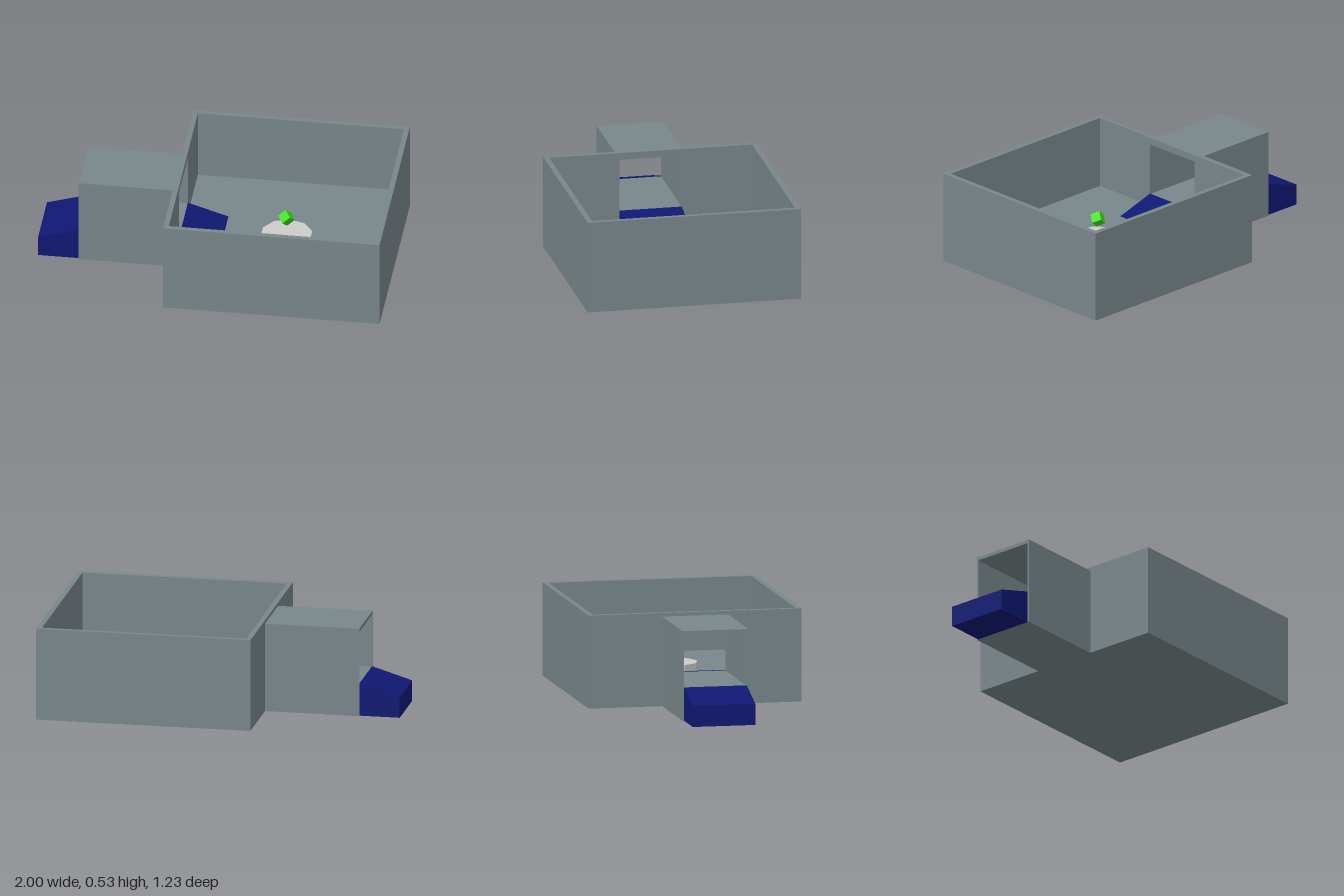
import * as THREE from 'three';

const mat = (color) => new THREE.MeshStandardMaterial({ color, flatShading: true });

export function createModel() {
  const model = new THREE.Group();
  const slate = mat(0x78868a), navy = mat(0x0e1873), green = mat(0x3bdc12), grey = mat(0xcccccc);

  const add = (parent, name, geometry, material) => {
    const mesh = new THREE.Mesh(geometry, material);
    mesh.name = name;
    parent.add(mesh);
    return mesh;
  };
  // Box given by its lower and upper corners
  const block = (parent, name, a, b, material = slate) => {
    const mesh = add(parent, name, new THREE.BoxGeometry(b[0] - a[0], b[1] - a[1], b[2] - a[2]), material);
    mesh.position.set((a[0] + b[0]) / 2, (a[1] + b[1]) / 2, (a[2] + b[2]) / 2);
  };
  const rectangle = (Type, w, y0, y1) => new Type([
    [-w, y0], [w, y0], [w, y1], [-w, y1],
  ].map(([x, y]) => new THREE.Vector2(x, y)));
  // Upright panel in the z-y plane with a doorway, running along x
  const doorway = (parent, name, halfWidth, y0, y1, x0, x1) => {
    const shape = rectangle(THREE.Shape, halfWidth, y0, y1);
    shape.holes.push(rectangle(THREE.Path, doorHalf, doorBottom, doorTop));
    const geometry = new THREE.ExtrudeGeometry(shape, { depth: x1 - x0, bevelEnabled: false });
    geometry.rotateY(Math.PI / 2).translate(x0, 0, 0);
    add(parent, name, geometry, slate);
  };

  const half = 0.613, wall = 0.03, left = 1, right = -0.23, height = 0.53, floorY = 0.117;
  const doorHalf = 0.18, doorBottom = 0.187, doorTop = 0.49;

  // Open room with a raised floor
  const room = new THREE.Group();
  room.name = 'room';
  model.add(room);
  const inner = half - wall;
  block(room, 'floor', [right + wall, 0, -inner], [left - wall, floorY, inner]);
  block(room, 'frontWall', [right + wall, 0, inner], [left, height, half]);
  block(room, 'backWall', [right + wall, 0, -half], [left, height, -inner]);
  block(room, 'leftWall', [left - wall, 0, -inner], [left, height, inner]);
  doorway(room, 'doorWall', half, 0, height, right, right + wall);

  // Entrance tunnel leading to the doorway
  doorway(model, 'tunnel', 0.19, 0, 0.51, -0.77, right);

  // Sloping ramps at both ends of the tunnel
  const ramp = (name, points) => {
    const shape = new THREE.Shape(points.map(([x, y]) => new THREE.Vector2(x, y)));
    const geometry = new THREE.ExtrudeGeometry(shape, { depth: 2 * doorHalf, bevelEnabled: false });
    geometry.translate(0, 0, -doorHalf);
    add(model, name, geometry, navy);
  };
  ramp('outerRamp', [[-1, 0], [-0.77, 0], [-0.77, 0.19], [-1, 0.12]]);
  ramp('innerRamp', [[-0.2, 0.1], [0.03, 0.1], [0.03, 0.12], [-0.2, 0.19]]);

  // Ten-sided pedestal
  const top = 0.153;
  const pedestal = add(model, 'pedestal', new THREE.CylinderGeometry(0.147, 0.147, top - floorY, 10), grey);
  pedestal.position.set(0.385, (top + floorY) / 2, 0);

  // Tilted cube floating above the pedestal
  const cube = add(model, 'floatingCube', new THREE.BoxGeometry(0.056, 0.056, 0.056), green);
  const facing = new THREE.Vector3(-0.52, 0.42, -0.743).normalize();
  const side = new THREE.Vector3(0, 1, 0).cross(facing).normalize();
  const up = facing.clone().cross(side);
  cube.quaternion.setFromRotationMatrix(new THREE.Matrix4().makeBasis(side, up, facing));
  cube.rotateZ(Math.PI / 4);
  cube.position.set(0.385, 0.26, 0);

  return model;
}
